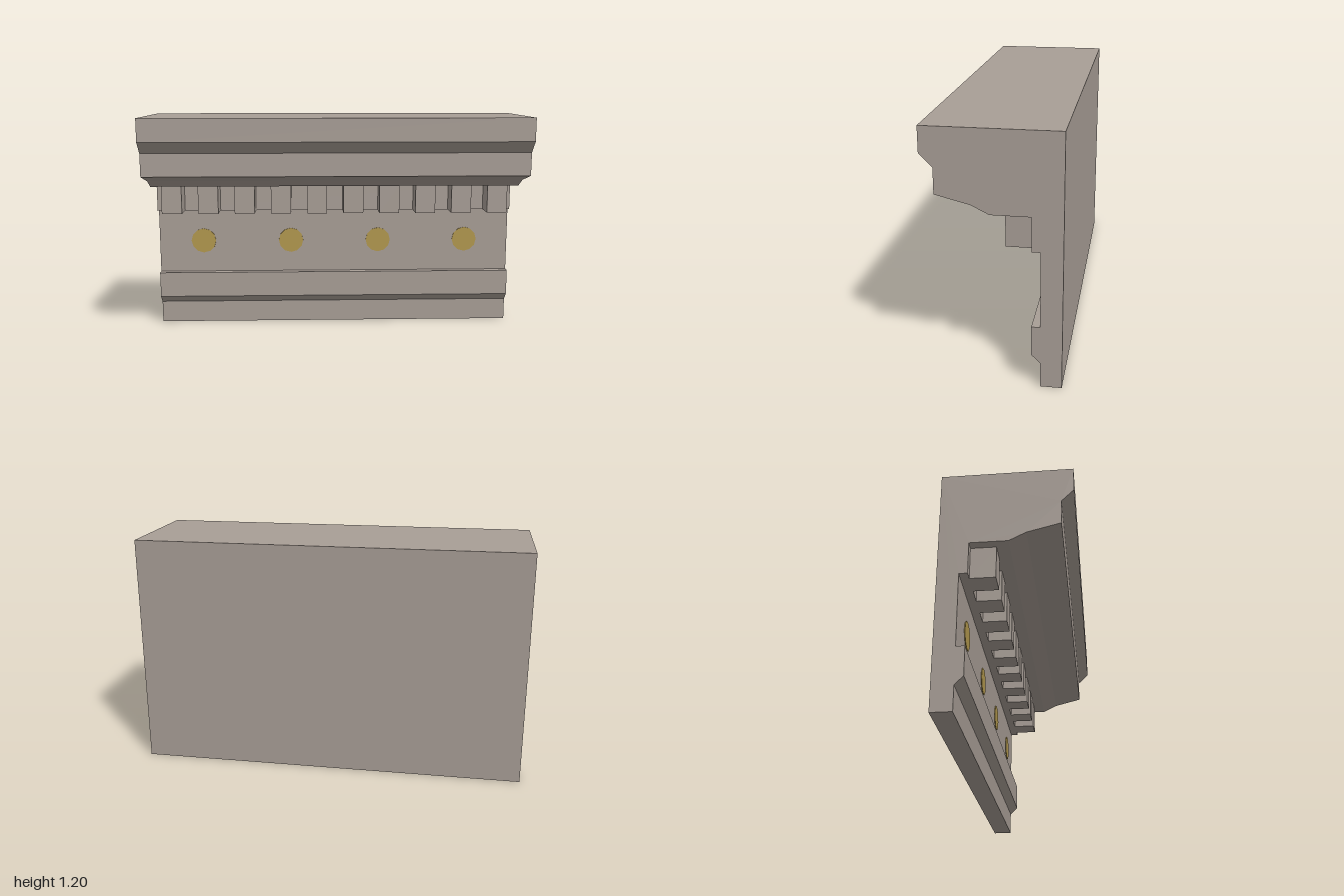
import * as THREE from 'three';

export function createModel() {
  const model = new THREE.Group();
  model.name = 'cornice';
  const stone = new THREE.MeshStandardMaterial({ color: 0xa89e96 });
  stone.name = 'stone';
  const gold = new THREE.MeshStandardMaterial({ color: 0xb2984e });
  gold.name = 'gold';

  const add = (name, geometry, material, x = 0, y = 0, z = 0) => {
    const mesh = new THREE.Mesh(geometry, material);
    mesh.name = name;
    mesh.position.set(x, y, z);
    model.add(mesh);
  };

  // Moulding profile (depth, height), swept along the full width
  const profile = [
    [-0.31, 0], [-0.21, 0], [-0.21, 0.12], [-0.17, 0.16], [-0.17, 0.3], [-0.21, 0.3],
    [-0.21, 0.66], [-0.17, 0.66], [-0.17, 0.82], [0.01, 0.82], [0.09, 0.86], [0.25, 0.9],
    [0.25, 1.02], [0.31, 1.08], [0.31, 1.2], [-0.31, 1.2],
  ].map(([z, y]) => new THREE.Vector2(z, y));
  const body = new THREE.ExtrudeGeometry(new THREE.Shape(profile), { depth: 2, bevelEnabled: false });
  body.translate(0, 0, -1).rotateY(-Math.PI / 2);
  add('moulding', body, stone);

  // Row of dentil blocks under the cornice
  const dentil = new THREE.BoxGeometry(0.11, 0.16, 0.12);
  for (let i = 0; i < 10; i++) add('dentil', dentil, stone, -0.9 + i * 0.2, 0.74, -0.11);

  // Thin round medallions on the frieze
  const disc = new THREE.CylinderGeometry(0.07, 0.07, 0.006, 12).rotateX(Math.PI / 2);
  for (const x of [-0.75, -0.25, 0.25, 0.75]) add('medallion', disc, gold, x, 0.48, -0.209);

  return model;
}
